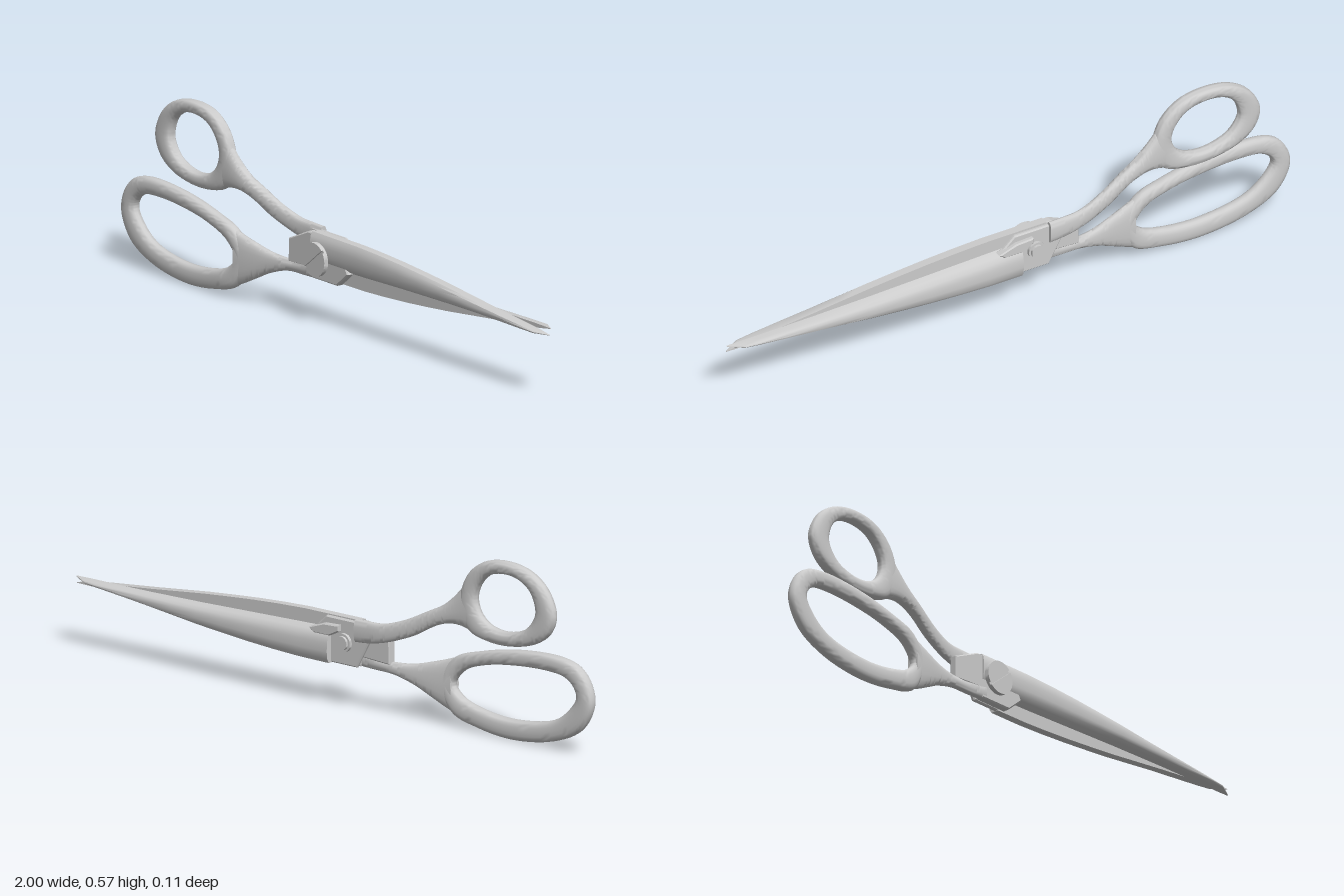
import * as THREE from 'three';
import { toCreasedNormals } from 'three/addons/utils/BufferGeometryUtils.js';

const metal = new THREE.MeshStandardMaterial({ color: 0xcccccc });
const MID_Y = 0.425, MID_Z = -0.036; // twice the pivot-line height and the contact plane

function part(name, geometry, crease = 0.6) {
  const mesh = new THREE.Mesh(toCreasedNormals(geometry, crease), metal);
  mesh.name = name;
  return mesh;
}

// Skin over cross-sections; a closed loft returns to its first section, an open one gets end caps
function loft(rings, closed) {
  const verts = [], n = rings[0].length;
  const tri = (...corners) => corners.forEach(c => verts.push(...c));
  const spans = closed ? rings.length : rings.length - 1;
  for (let i = 0; i < spans; i++) {
    const a = rings[i], b = rings[(i + 1) % rings.length];
    for (let j = 0; j < n; j++) {
      const k = (j + 1) % n;
      tri(a[j], a[k], b[j]);
      tri(a[k], b[k], b[j]);
    }
  }
  if (!closed) {
    const first = rings[0], last = rings[rings.length - 1];
    for (let j = 1; j < n - 1; j++) {
      tri(first[0], first[j + 1], first[j]);
      tri(last[0], last[j], last[j + 1]);
    }
  }
  const geo = new THREE.BufferGeometry();
  geo.setAttribute('position', new THREE.Float32BufferAttribute(verts, 3));
  return geo;
}

// Rounded band between two edge curves given as [x1, y1, x2, y2] pairs.
// Along x it bends from ringZ to armZ and gets thinner.
function band(name, pairs, closed, ringZ, armZ) {
  const edge = o => new THREE.CatmullRomCurve3(
    pairs.map(p => new THREE.Vector3(p[o], p[o + 1], 0)), closed);
  const outer = edge(0), inner = edge(2), steps = 96, sides = 20;
  const round = v => Math.sign(v) * Math.abs(v) ** 0.75;
  const rings = [];
  for (let i = 0; i < (closed ? steps : steps + 1); i++) {
    const p = outer.getPoint(i / steps), q = inner.getPoint(i / steps);
    const ring = [];
    for (let j = 0; j < sides; j++) {
      const angle = j / sides * Math.PI * 2;
      const pos = q.clone().lerp(p, 0.5 + 0.5 * round(Math.cos(angle)));
      const s = THREE.MathUtils.smoothstep(pos.x, -0.52, -0.18);
      const z = 0.021 * (1 - 0.37 * s) * round(Math.sin(angle));
      ring.push([pos.x, pos.y, z + THREE.MathUtils.lerp(ringZ, armZ, s)]);
    }
    rings.push(ring);
  }
  return part(name, loft(rings, closed), 0.9);
}

function handle(name, loop, arm, ringZ, armZ) {
  const group = new THREE.Group();
  group.name = name;
  group.add(band(name + 'Loop', loop, true, ringZ, armZ));
  group.add(band(name + 'Arm', arm, false, ringZ, armZ));
  return group;
}

// Flat plate between z0 and z1 with a small chamfer
function plate(name, points, z0, z1) {
  const b = 0.004;
  const geo = new THREE.ExtrudeGeometry(new THREE.Shape(points.map(p => new THREE.Vector2(...p))), {
    depth: z1 - z0 - 2 * b, bevelThickness: b, bevelSize: b, bevelOffset: -b, bevelSegments: 1,
  });
  return part(name, geo.translate(0, 0, z0 + b), 0.3);
}

// Blade lofted from one section: flat inside, rounded outside, narrow ground edge
function blade(name, startX) {
  // x, spine y, edge y, thickness
  const stations = [
    [startX, 0.286, 0.18, 0.037], [0.1, 0.285, 0.183, 0.038], [0.2, 0.281, 0.186, 0.038],
    [0.3, 0.275, 0.189, 0.038], [0.4, 0.267, 0.192, 0.038], [0.5, 0.258, 0.195, 0.038],
    [0.6, 0.247, 0.197, 0.037], [0.7, 0.236, 0.199, 0.036], [0.8, 0.226, 0.2, 0.035],
    [0.9, 0.216, 0.2, 0.033], [0.95, 0.211, 0.2, 0.03], [1.0, 0.203, 0.201, 0.003],
  ];
  const section = [
    [1, 0], [1, 0.72], [0.88, 0.93], [0.65, 1], [0.4, 0.97], [0.22, 0.86], [0.1, 0.55], [0, 0],
  ];
  const rings = stations.map(([x, top, edge, t]) =>
    section.map(([u, w]) => [x, edge + (top - edge) * u, MID_Z / 2 + t * w]));
  return part(name, loft(rings, false), 0.7);
}

function cylinder(name, r, z0, z1) {
  const geo = new THREE.CylinderGeometry(r, r, z1 - z0, 40).rotateX(Math.PI / 2);
  return part(name, geo.translate(0, 0, (z0 + z1) / 2));
}

// Pivot screw with a slotted head and a nut behind
function pivot() {
  const group = new THREE.Group();
  group.name = 'pivotScrew';
  group.position.set(-0.073, 0.212, 0);
  group.add(cylinder('screwShaft', 0.022, -0.052, 0.03));
  group.add(cylinder('screwNut', 0.029, -0.044, -0.03));
  group.add(cylinder('screwHead', 0.053, 0.028, 0.037));
  const slot = 0.08; // half angle of the slot at the rim
  for (const turn of [0, Math.PI]) {
    const half = new THREE.Shape();
    half.absarc(0, 0, 0.053, slot, Math.PI - slot, false);
    const geo = new THREE.ExtrudeGeometry(half, { depth: 0.006, bevelEnabled: false, curveSegments: 24 });
    geo.rotateZ(turn + 0.68).translate(0, 0, 0.037);
    group.add(part('screwHeadHalf', geo));
  }
  return group;
}

export function createModel() {
  const model = new THREE.Group();
  model.name = 'scissors';

  // Small thumb loop, joined to the rear blade
  model.add(handle('thumbHandle', [
    [-0.877, 0.43, -0.803, 0.435], [-0.845, 0.505, -0.785, 0.49], [-0.78, 0.553, -0.745, 0.52],
    [-0.69, 0.57, -0.685, 0.53], [-0.6, 0.555, -0.62, 0.515], [-0.54, 0.51, -0.58, 0.475],
    [-0.51, 0.45, -0.566, 0.43], [-0.505, 0.385, -0.58, 0.39], [-0.54, 0.328, -0.61, 0.363],
    [-0.62, 0.306, -0.65, 0.35], [-0.71, 0.307, -0.7, 0.35], [-0.8, 0.33, -0.76, 0.37],
    [-0.855, 0.37, -0.79, 0.4],
  ], [
    [-0.515, 0.462, -0.565, 0.322], [-0.478, 0.422, -0.51, 0.336], [-0.44, 0.391, -0.465, 0.336],
    [-0.38, 0.36, -0.415, 0.321], [-0.31, 0.325, -0.335, 0.277], [-0.23, 0.299, -0.245, 0.243],
    [-0.17, 0.295, -0.175, 0.227], [-0.12, 0.294, -0.12, 0.222],
  ], 0.004, -0.034));

  // Large finger loop, joined to the front blade
  model.add(handle('fingerHandle', [
    [-1, 0.165, -0.938, 0.185], [-0.985, 0.232, -0.925, 0.215], [-0.943, 0.277, -0.89, 0.237],
    [-0.875, 0.295, -0.83, 0.244], [-0.71, 0.288, -0.71, 0.239], [-0.55, 0.255, -0.58, 0.218],
    [-0.455, 0.22, -0.49, 0.183], [-0.405, 0.14, -0.455, 0.135], [-0.45, 0.045, -0.485, 0.1],
    [-0.55, 0.014, -0.56, 0.076], [-0.69, 0.002, -0.69, 0.066], [-0.85, 0.027, -0.85, 0.095],
    [-0.955, 0.08, -0.915, 0.145],
  ], [
    [-0.452, 0.219, -0.452, 0.046], [-0.42, 0.208, -0.42, 0.06], [-0.37, 0.193, -0.37, 0.085],
    [-0.31, 0.178, -0.315, 0.112], [-0.24, 0.172, -0.24, 0.134], [-0.16, 0.178, -0.16, 0.137],
    [-0.1, 0.19, -0.1, 0.139],
  ], 0.037, 0));

  // Front blade and its tang
  model.add(blade('frontBlade', -0.12));
  model.add(plate('frontTang', [
    [-0.235, 0.165], [-0.13, 0.17], [-0.12, 0.14], [0, 0.14], [0.055, 0.186],
    [0, 0.284], [-0.14, 0.282], [-0.235, 0.24],
  ], -0.016, 0.012));

  // Rear blade is the front one turned half round the long axis
  const rear = blade('rearBlade', -0.02);
  rear.rotation.x = Math.PI;
  rear.position.set(0, MID_Y, MID_Z);
  model.add(rear);
  model.add(plate('rearTang', [
    [-0.17, 0.23], [-0.12, 0.14], [0.02, 0.14], [0.05, 0.238], [0, 0.284], [-0.16, 0.284],
  ], -0.034, -0.02));
  // Raised shoulder where the rear blade meets its tang
  model.add(plate('rearShoulder', [
    [-0.06, 0.245], [-0.02, 0.225], [0.04, 0.225], [0.06, 0.24], [0, 0.262], [-0.06, 0.265],
  ], -0.048, -0.02));

  model.add(pivot());
  return model;
}
